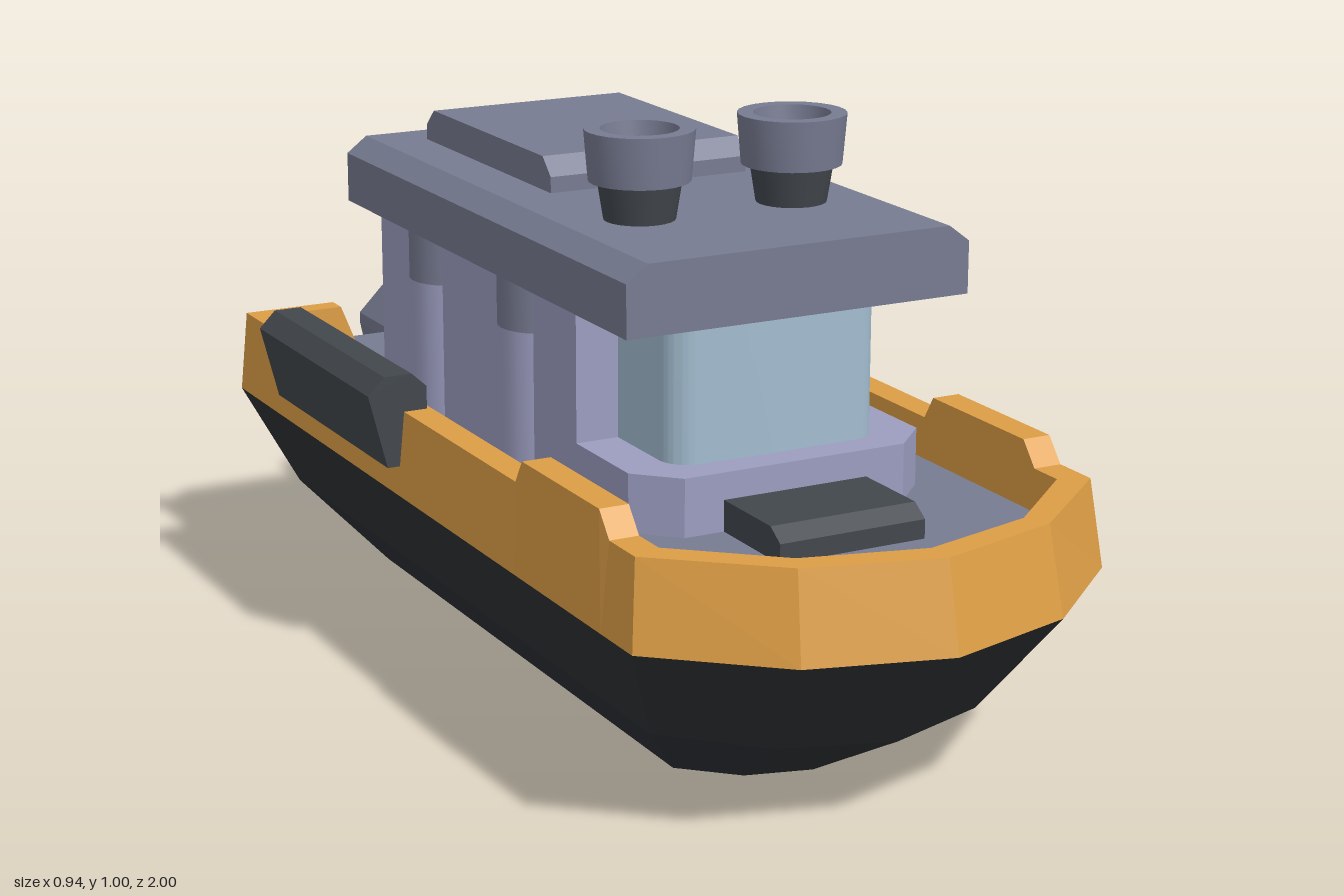
import * as THREE from 'three';
import { toCreasedNormals } from 'three/addons/utils/BufferGeometryUtils.js';

const paint = (name, color) => {
  const m = new THREE.MeshStandardMaterial({ color });
  m.name = name;
  return m;
};

// Flat-faced skin over rows of [x, y, z] points.
function loft(rings, { closeSection = false, closePath = false, caps = false }) {
  const pos = [];
  const tri = (...p) => p.forEach((v) => pos.push(...v));
  const n = rings.length, m = rings[0].length;
  for (let i = 0; i < (closePath ? n : n - 1); i++) {
    const lo = rings[i], hi = rings[(i + 1) % n];
    for (let j = 0; j < (closeSection ? m : m - 1); j++) {
      const k = (j + 1) % m;
      tri(lo[j], lo[k], hi[k]);
      tri(lo[j], hi[k], hi[j]);
    }
  }
  if (caps) {
    for (let j = 1; j < m - 1; j++) {
      tri(rings[0][0], rings[0][j + 1], rings[0][j]);
      tri(rings[n - 1][0], rings[n - 1][j], rings[n - 1][j + 1]);
    }
  }
  const g = new THREE.BufferGeometry();
  g.setAttribute('position', new THREE.Float32BufferAttribute(pos, 3));
  g.computeVertexNormals();
  return g;
}

const shapeOf = (pts) => new THREE.Shape(pts.map(([x, y]) => new THREE.Vector2(x, y)));
const extrude = (shape, depth) =>
  new THREE.ExtrudeGeometry(shape, { depth, bevelEnabled: false, curveSegments: 8 });

// Front profile (x, y) run along z; side profile (z, y) run along x; plan (x, z) run down from top.
const alongZ = (pts, z0, z1) => extrude(shapeOf(pts), z1 - z0).translate(0, 0, z0);
const alongX = (pts, half) => extrude(shapeOf(pts), 2 * half).translate(0, 0, -half).rotateY(-Math.PI / 2);
const plan = (shape, bottom, top) => extrude(shape, top - bottom).rotateX(Math.PI / 2).translate(0, top, 0);

// Mirror half a plan outline, given from bow to stern.
const mirrorPlan = (half) => [
  ...half,
  ...half.filter(([x]) => x > 0).reverse().map(([x, z]) => [-x, z]),
];

export function createModel() {
  const boat = new THREE.Group();
  boat.name = 'boat';
  const grey = paint('slate grey', 0x777b91);
  const lavender = paint('pale lavender', 0x9c9dc0);
  const orange = paint('orange', 0xdd9e45);
  const black = paint('hull black', 0x2d3034);
  const charcoal = paint('charcoal', 0x42474d);
  const glass = paint('window blue', 0xa3bdd0);

  const add = (name, geometry, material, parent = boat) => {
    const mesh = new THREE.Mesh(geometry, material);
    mesh.name = name;
    parent.add(mesh);
    return mesh;
  };

  // Hull: three outlines, keel to sheer
  const levels = [
    [0, [[0, 0.59], [0.11, 0.56], [0.195, 0.48], [0.195, -0.67]]],
    [0.14, [[0, 0.84], [0.18, 0.78], [0.32, 0.64], [0.32, -0.8]]],
    [0.33, [[0, 1], [0.23, 0.935], [0.42, 0.77], [0.42, -0.83]]],
  ].map(([y, half]) => mirrorPlan(half).map(([x, z]) => [x, y, z]));
  add('hull', loft(levels, { closeSection: true, caps: true }), black);

  // Bulwark: section swept round the boat, dipping at the stern and rising near the bow
  // outer foot x, z; outer top x, z; inner top x, z; height
  const DECK = 0.4;
  const side = (z, h) => [0.42, z, 0.405, z, 0.355, z, h];
  const half = [
    [0.2, -0.83, 0.2, -0.83, 0.2, -0.79, DECK],
    [0.23, -0.83, 0.23, -0.83, 0.23, -0.79, 0.475],
    [0.42, -0.83, 0.405, -0.83, 0.355, -0.79, 0.475],
    side(0.345, 0.475), side(0.37, 0.515), side(0.635, 0.515), side(0.668, 0.475),
    [0.42, 0.77, 0.405, 0.75, 0.355, 0.73, 0.475],
    [0.23, 0.935, 0.22, 0.905, 0.2, 0.865, 0.475],
    [0, 1, 0, 0.967, 0, 0.918, 0.475],
  ];
  const station = ([ax, az, bx, bz, cx, cz, h], s) =>
    [[s * ax, 0.33, az], [s * bx, h, bz], [s * cx, h, cz], [s * cx, DECK - 0.02, cz]];
  const rail = [
    ...half.map((p) => station(p, 1)),
    ...half.slice(0, -1).reverse().map((p) => station(p, -1)),
  ];
  add('bulwark', loft(rail, { closePath: true }), orange);

  // Deck, running out through the stern gap
  const deck = mirrorPlan([[0, 0.918], [0.2, 0.865], [0.355, 0.73], [0.355, -0.79], [0.2, -0.79], [0.2, -0.83]]);
  add('deck', plan(shapeOf(deck), DECK - 0.015, DECK + 0.003), grey);

  // Foredeck hatch
  add('hatch', alongX([[0.5, DECK], [0.7, DECK], [0.7, 0.435], [0.67, 0.455], [0.5, 0.455]], 0.13), charcoal);

  // Cabin
  const cabin = new THREE.Group();
  cabin.name = 'cabin';
  boat.add(cabin);
  const base = mirrorPlan([[0.2, 0.525], [0.265, 0.46], [0.265, 0.25]]);
  add('cabinBase', plan(shapeOf(base), DECK, 0.5), lavender, cabin);
  add('cabinWalls', new THREE.BoxGeometry(0.53, 0.35, 0.78).translate(0, 0.57, -0.11), lavender, cabin);

  const pane = new THREE.Shape();
  pane.moveTo(-0.19, 0.26).lineTo(0.19, 0.26).lineTo(0.19, 0.42);
  pane.absarc(0.14, 0.42, 0.05, 0, Math.PI / 2);
  pane.absarc(-0.14, 0.42, 0.05, Math.PI / 2, Math.PI);
  add('windscreen', toCreasedNormals(plan(pane, 0.49, 0.745), 0.6), glass, cabin);

  // Round side pillars
  for (const s of [-1, 1]) {
    for (const z of [0.065, -0.295]) {
      const pillar = new THREE.Group();
      pillar.name = 'pillar';
      pillar.position.set(s * 0.22, 0, z);
      cabin.add(pillar);
      add('pillarFoot', new THREE.CylinderGeometry(0.075, 0.075, 0.245, 24).translate(0, 0.5225, 0), lavender, pillar);
      add('pillarHead', new THREE.CylinderGeometry(0.075, 0.075, 0.1, 24).translate(0, 0.695, 0), grey, pillar);
    }
  }

  // Roof and its raised locker
  add('roof', alongZ([[-0.307, 0.738], [0.307, 0.738], [0.307, 0.825], [0.27, 0.853], [-0.27, 0.853], [-0.307, 0.825]], -0.55, 0.535), grey);
  add('roofLocker', alongX([[-0.472, 0.85], [0.03, 0.85], [0.03, 0.88], [0, 0.91], [-0.44, 0.91], [-0.472, 0.88]], 0.185), grey);

  // Funnels: dark neck, hollow grey collar, dark floor
  const collar = [[0.068, 0.916], [0.083, 0.916], [0.09, 1], [0.064, 1], [0.055, 0.93]]
    .map(([r, y]) => new THREE.Vector2(r, y));
  for (const s of [-1, 1]) {
    const funnel = new THREE.Group();
    funnel.name = 'funnel';
    funnel.position.set(s * 0.14, 0, 0.26);
    boat.add(funnel);
    add('funnelNeck', new THREE.CylinderGeometry(0.07, 0.058, 0.075, 24).translate(0, 0.8875, 0), charcoal, funnel);
    add('funnelCollar', toCreasedNormals(new THREE.LatheGeometry(collar, 24), 0.6), grey, funnel);
    add('funnelFloor', new THREE.CircleGeometry(0.06, 24).rotateX(-Math.PI / 2).translate(0, 0.935, 0), charcoal, funnel);
  }

  // Fenders over the rail
  for (const s of [-1, 1]) {
    const section = [[0.41, 0.38], [0.437, 0.38], [0.47, 0.51], [0.44, 0.54], [0.39, 0.54], [0.363, 0.515], [0.363, 0.47]];
    add('fender', alongZ(section.map(([x, y]) => [s * x, y]), -0.59, -0.09), charcoal);
  }

  // Stern motor: tapered leg under a chamfered head
  const block = (y, w, front, back) => [[w, y, front], [w, y, back], [-w, y, back], [-w, y, front]];
  const motor = [
    block(0.145, 0.055, -0.88, -1),
    block(0.38, 0.105, -0.84, -1),
    block(0.4, 0.105, -0.745, -1),
    block(0.477, 0.06, -0.745, -0.955),
  ];
  add('sternMotor', loft(motor, { closeSection: true, caps: true }), grey);

  return boat;
}
